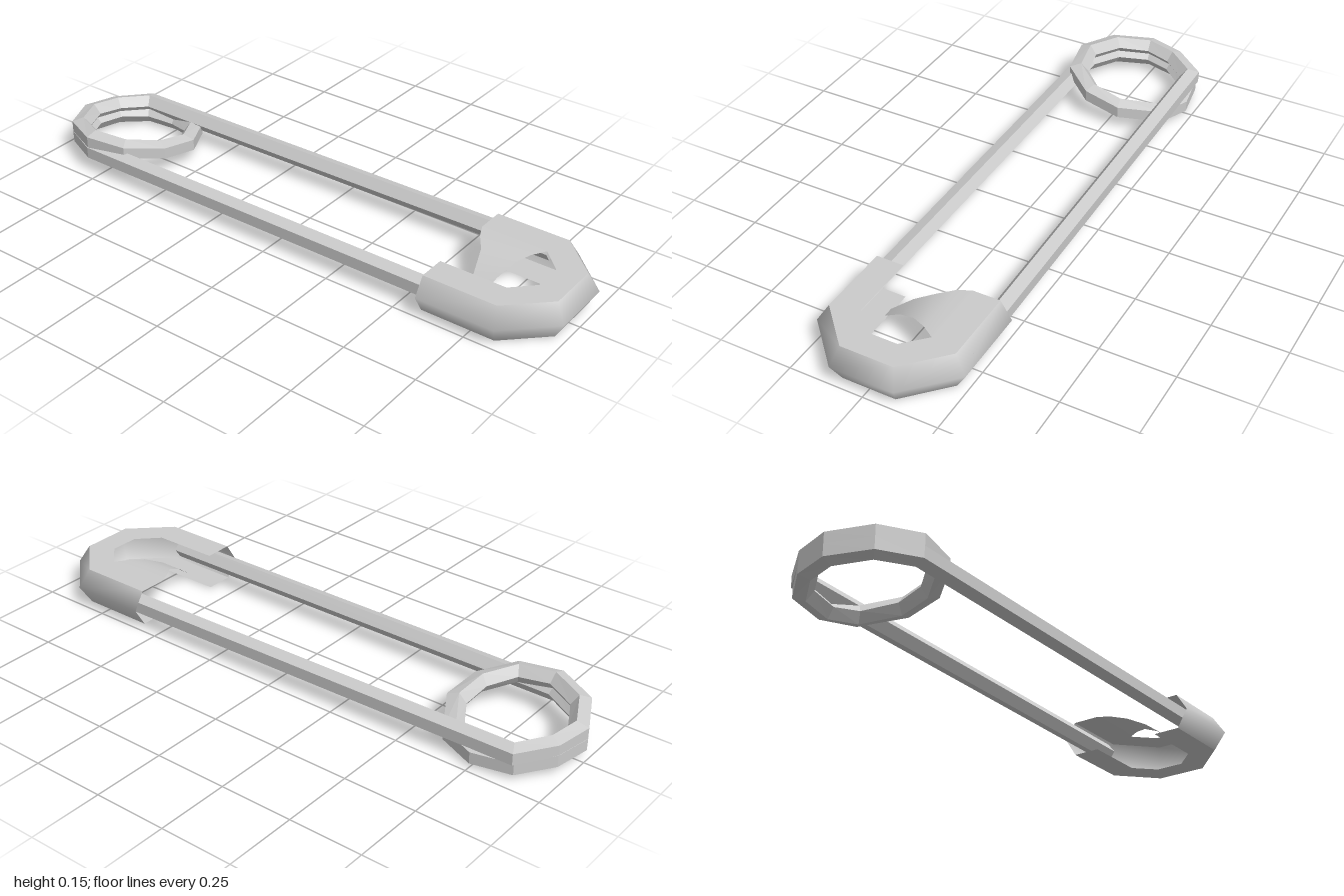
import * as THREE from 'three';

// Surface through rows of [x, y, z] points, all rows of equal length
function loft(rows, closed = false) {
  const n = rows[0].length, index = [];
  for (let i = 0; i < rows.length - 1; i++) {
    for (let k = 0; k < (closed ? n : n - 1); k++) {
      const a = i * n + k, b = i * n + (k + 1) % n;
      index.push(a, a + n, b, b, a + n, b + n);
    }
  }
  const geometry = new THREE.BufferGeometry();
  geometry.setAttribute('position', new THREE.Float32BufferAttribute(rows.flat(2), 3));
  geometry.setIndex(index);
  geometry.computeVertexNormals();
  return geometry;
}

// Five-sided wire swept along [x, y, z] points, mitred at the bends
function wireGeometry(path, radius) {
  const direction = (a, b) => new THREE.Vector2(b[0] - a[0], b[2] - a[2]).normalize();
  const rows = path.map((p, i) => {
    const before = direction(path[Math.max(i - 1, 0)], path[Math.max(i, 1)]);
    const last = path.length - 1;
    const after = direction(path[Math.min(i, last - 1)], path[Math.min(i + 1, last)]);
    const t = before.clone().add(after).normalize();
    const miter = 1 / t.dot(after);
    return Array.from({ length: 5 }, (_, k) => {
      const angle = (35 + 72 * k) * Math.PI / 180;
      const out = radius * Math.cos(angle) * miter;
      return [p[0] - t.y * out, p[1] + radius * Math.sin(angle), p[2] + t.x * out];
    });
  });
  const tube = loft(rows, true);
  // End caps
  const index = Array.from(tube.index.array), end = (rows.length - 1) * 5;
  for (let k = 1; k < 4; k++) {
    index.push(0, k, k + 1, end, end + k + 1, end + k);
  }
  tube.setIndex(index);
  return tube;
}

export function createModel() {
  const model = new THREE.Group();
  const flat = new THREE.MeshStandardMaterial({ color: 0xcccccc, flatShading: true });
  const sheet = new THREE.MeshStandardMaterial({ color: 0xcccccc, side: THREE.DoubleSide });
  const add = (parent, name, geometry, material) => {
    const mesh = new THREE.Mesh(geometry, material);
    mesh.name = name;
    parent.add(mesh);
  };

  // One wire: back arm, one and a half turns of coil, front arm
  const path = [
    [0.78, 0.075, -0.21], [-0.87, 0.078, -0.187],
    [-0.945, 0.085, -0.09], [-0.968, 0.093, 0.015], [-0.91, 0.105, 0.13], [-0.79, 0.116, 0.188],
    [-0.665, 0.11, 0.165], [-0.588, 0.09, 0.07], [-0.575, 0.07, -0.045], [-0.645, 0.047, -0.165], [-0.75, 0.034, -0.2],
    [-0.87, 0.04, -0.18], [-0.945, 0.05, -0.09], [-0.968, 0.055, 0.015], [-0.91, 0.065, 0.13], [-0.79, 0.075, 0.19],
    [0.78, 0.075, 0.19],
  ];
  add(model, 'wire', wireGeometry(path, 0.034), flat);

  // Clasp: a folded sheet following a U, open on the inside
  const clasp = new THREE.Group();
  clasp.name = 'clasp';
  model.add(clasp);
  const uRow = (half, y) => [
    ...half.map(([x, z]) => [x, y, z]),
    ...half.slice().reverse().map(([x, z]) => [x, y, -z]),
  ];
  const outer = [[0.58, 0.253], [0.85, 0.253], [1, 0.108]];
  const inset = [[0.58, 0.215], [0.835, 0.215], [0.965, 0.09]];
  const inner = [[0.58, 0.12], [0.81, 0.12], [0.88, 0.05]];
  const top = 0.131, bottom = 0.006;
  add(clasp, 'claspRim', loft([uRow(inset, top), uRow(outer, 0.07), uRow(inset, bottom)]), sheet);
  add(clasp, 'claspTop', loft([uRow(inner, top), uRow(inset, top)]), sheet);
  add(clasp, 'claspBottom', loft([uRow(inset, bottom), uRow(inner, bottom)]), sheet);

  // Guard tongue: tapers and curls down from the back of the clasp top
  const tongue = [
    [-0.12, 0.58, 0.81, top], [-0.075, 0.6, 0.78, 0.129], [-0.025, 0.635, 0.755, 0.12],
    [0.04, 0.655, 0.732, 0.088], [0.11, 0.675, 0.71, 0.035],
  ];
  add(clasp, 'guardTongue', loft(tongue.map(([z, x0, x1, y]) => [[x0, y, z], [x1, y, z]])), sheet);

  return model;
}
